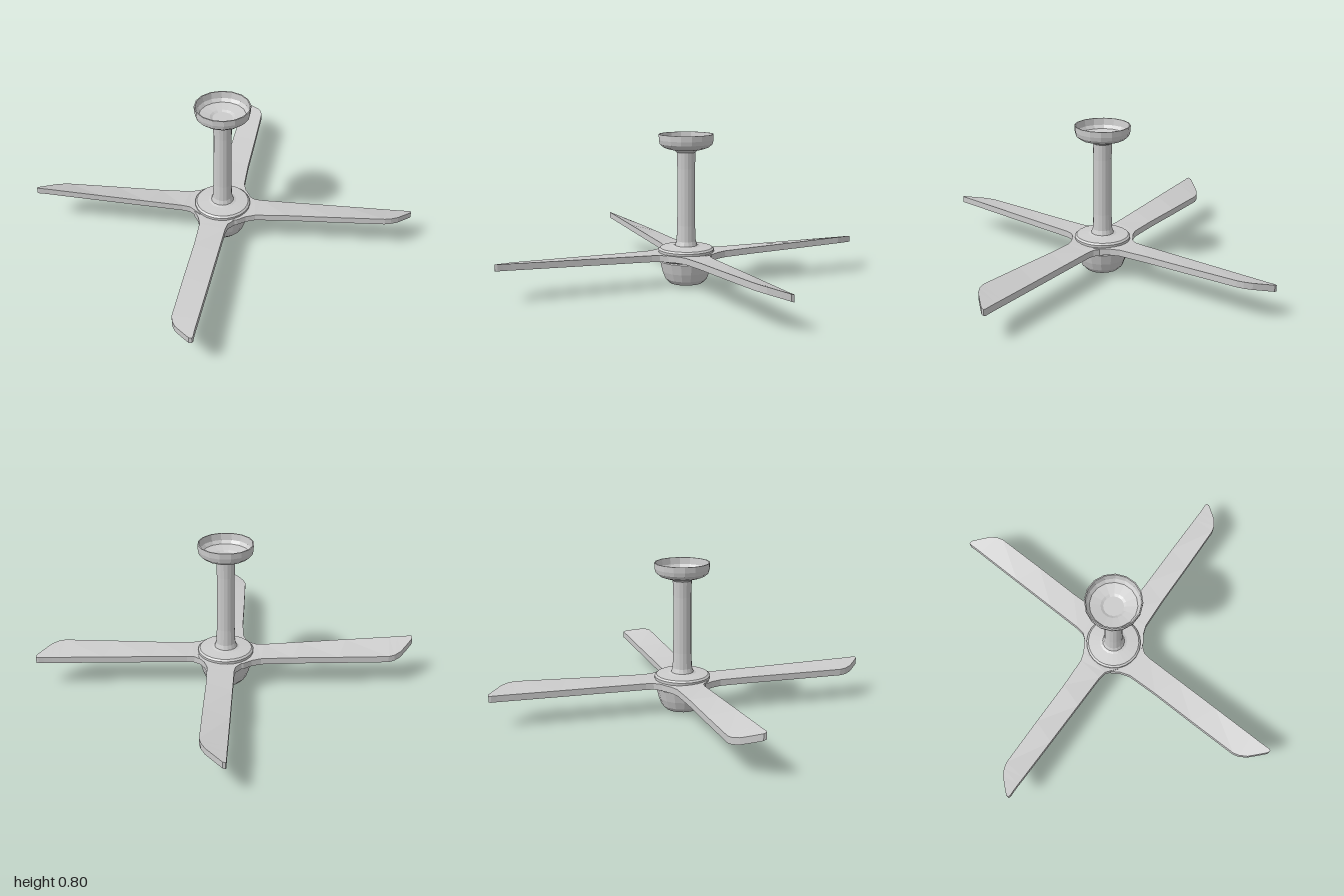
import * as THREE from 'three';

const material = new THREE.MeshStandardMaterial({ color: 0xcccccc, flatShading: true, side: THREE.DoubleSide });

function lathe(name, points, segments = 16) {
  const profile = points.map(([r, y]) => new THREE.Vector2(r, y));
  const mesh = new THREE.Mesh(new THREE.LatheGeometry(profile, segments), material);
  mesh.name = name;
  return mesh;
}

// Blade stations from hub to tip: long edge (x, z), short edge (x, z)
const stations = [
  [0.08, -0.13, 0.08, 0.13],
  [0.12, -0.11, 0.12, 0.11],
  [0.15, -0.097, 0.155, 0.072],
  [0.19, -0.101, 0.20, 0.043],
  [0.38, -0.146, 0.36, -0.002],
  [0.62, -0.203, 0.60, -0.06],
  [0.85, -0.257, 0.86, -0.125],
  [0.89, -0.266, 0.89, -0.142],
  [0.93, -0.276, 0.92, -0.172],
  [0.957, -0.284, 0.952, -0.23],
  [0.97, -0.283, 0.972, -0.268],
];

// Twisted slab: one edge stays level, the other rises towards the tip
function bladeGeometry(rise, longEdgeHigh) {
  const base = 0.142, thickness = 0.034;
  const positions = [], index = [];
  for (const [lx, lz, sx, sz] of stations) {
    const corners = [[lx, lz], [sx, sz]].map(([x, z]) => {
      const across = THREE.MathUtils.clamp((z + 0.057 + 0.235 * x) / 0.134, 0, 1);
      return [x, base + rise * x * (longEdgeHigh ? 1 - across : across), z];
    });
    // order: top long, top short, bottom short, bottom long
    for (const [c, lift] of [[0, thickness], [1, thickness], [1, 0], [0, 0]]) {
      const [x, y, z] = corners[c];
      positions.push(x, y + lift, z);
    }
  }
  for (let i = 0; i < stations.length - 1; i++) {
    for (let j = 0; j < 4; j++) {
      const a = i * 4 + j, b = i * 4 + (j + 1) % 4;
      index.push(a, b, b + 4, a, b + 4, a + 4);
    }
  }
  const e = (stations.length - 1) * 4;
  index.push(0, 2, 1, 0, 3, 2, e, e + 1, e + 2, e, e + 2, e + 3);
  const geometry = new THREE.BufferGeometry();
  geometry.setAttribute('position', new THREE.Float32BufferAttribute(positions, 3));
  geometry.setIndex(index);
  geometry.computeVertexNormals();
  return geometry;
}

export function createModel() {
  const fan = new THREE.Group();
  fan.name = 'ceilingFan';

  // Rounded bowl under the blades
  fan.add(lathe('lowerBowl', [
    [0, 0], [0.05, 0.002], [0.09, 0.012], [0.112, 0.035], [0.127, 0.075], [0.14, 0.13], [0.13, 0.145],
  ]));

  // Ring that joins the blade roots
  fan.add(lathe('bladeRing', [
    [0.1, 0.138], [0.145, 0.138], [0.155, 0.145], [0.155, 0.168], [0.145, 0.175], [0.1, 0.175],
  ], 24));

  // Motor cap and flared down rod
  fan.add(lathe('motorCap', [
    [0.13, 0.17], [0.147, 0.177], [0.148, 0.192], [0.138, 0.201], [0.075, 0.207], [0.05, 0.21],
  ], 24));
  fan.add(lathe('downRod', [
    [0.08, 0.205], [0.06, 0.212], [0.052, 0.235], [0.048, 0.32], [0.047, 0.62], [0.05, 0.705], [0.063, 0.718], [0.063, 0.735],
  ]));

  // Hollow ceiling cup, open at the top
  fan.add(lathe('ceilingCup', [
    [0.05, 0.716], [0.09, 0.721], [0.118, 0.731], [0.139, 0.749], [0.144, 0.77], [0.145, 0.8],
    [0.139, 0.8], [0.134, 0.765], [0.12, 0.748], [0.065, 0.737], [0.052, 0.73], [0, 0.73],
  ]));

  // Four blades: angle, rise, whether the long edge is high, length scale
  const blades = [
    ['leftBlade', 0, 0.043, false, 1],
    ['rightBlade', 180, 0.058, true, 1],
    ['frontBlade', -93.8, 0.026, true, 1.011],
    ['backBlade', 86.2, 0.032, false, 1.011],
  ];
  for (const [name, angle, rise, longEdgeHigh, scale] of blades) {
    const blade = new THREE.Mesh(bladeGeometry(rise, longEdgeHigh), material);
    blade.name = name;
    blade.rotation.y = THREE.MathUtils.degToRad(angle);
    blade.scale.x = scale;
    fan.add(blade);
  }
  return fan;
}
